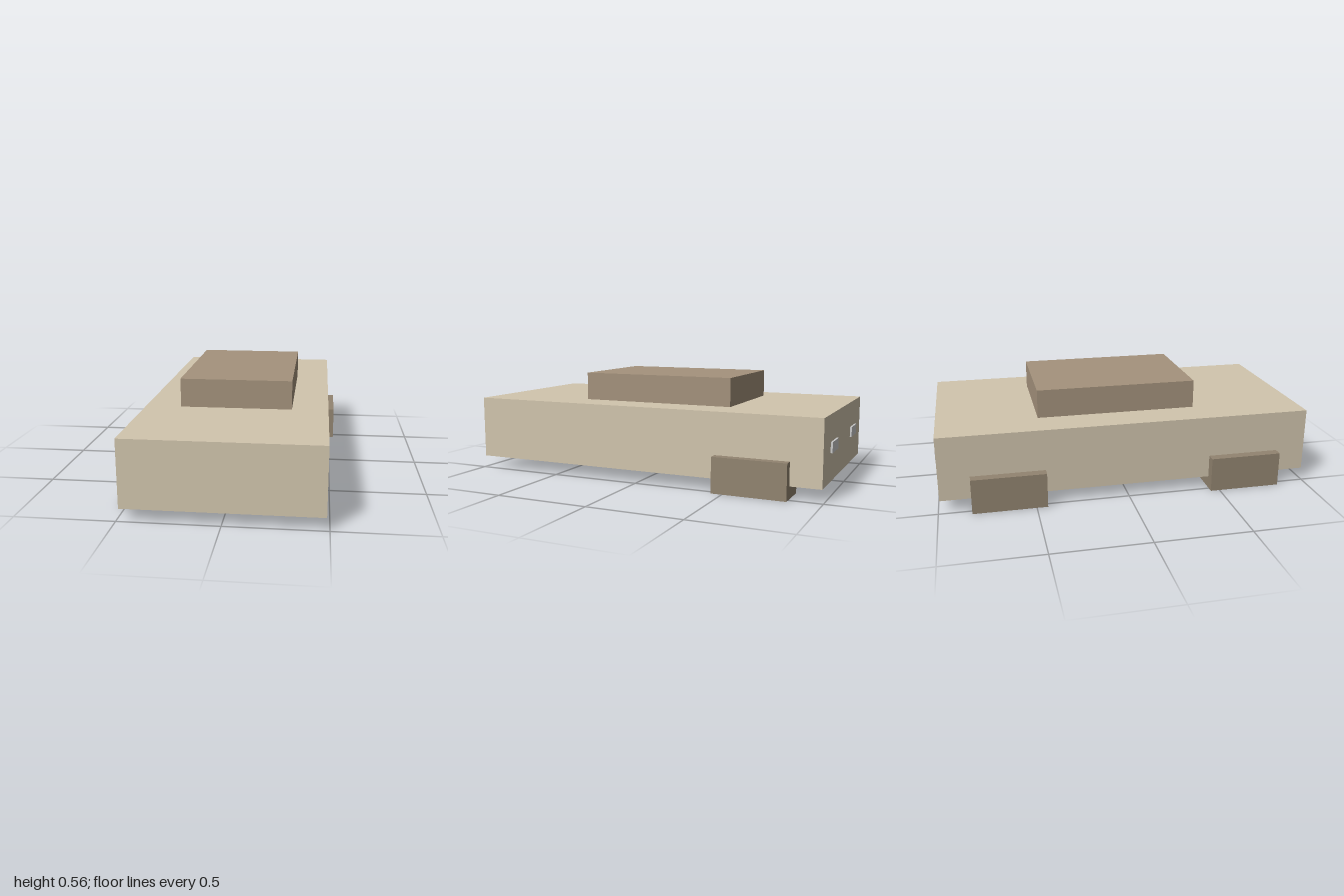
import * as THREE from 'three';

const paint = (color) => new THREE.MeshStandardMaterial({ color });

// Box given by its extents on each axis
function block(name, [x0, x1], [y0, y1], [z0, z1], material) {
  const mesh = new THREE.Mesh(new THREE.BoxGeometry(x1 - x0, y1 - y0, z1 - z0), material);
  mesh.position.set((x0 + x1) / 2, (y0 + y1) / 2, (z0 + z1) / 2);
  mesh.name = name;
  return mesh;
}

export function createModel() {
  const car = new THREE.Group();
  car.name = 'blockCar';
  const bodyPaint = paint(0xd2c6ae);
  const cabinPaint = paint(0xa5937d);
  const wheelPaint = paint(0x938571);
  const lightPaint = paint(0xcccccc);

  // Body slab and cabin
  car.add(block('body', [-0.485, 0.485], [0.065, 0.408], [-0.99, 1], bodyPaint));
  car.add(block('cabin', [-0.296, 0.294], [0.408, 0.56], [-0.455, 0.408], cabinPaint));

  // Square wheels: a rear pair and a single front one on the right-hand -x side
  const wheels = [
    ['rearLeftWheel', 1, -0.83],
    ['rearRightWheel', -1, -0.83],
    ['frontWheel', -1, 0.45],
  ];
  for (const [name, side, z] of wheels) {
    const x = side > 0 ? [0.348, 0.532] : [-0.535, -0.351];
    car.add(block(name, x, [0, 0.187], [z, z + 0.388], wheelPaint));
  }

  // Tail lights, standing slightly proud of the back
  for (const [name, x] of [['leftTailLight', 0.185], ['rightTailLight', -0.328]]) {
    car.add(block(name, [x, x + 0.14], [0.213, 0.268], [-1, -0.97], lightPaint));
  }
  return car;
}
